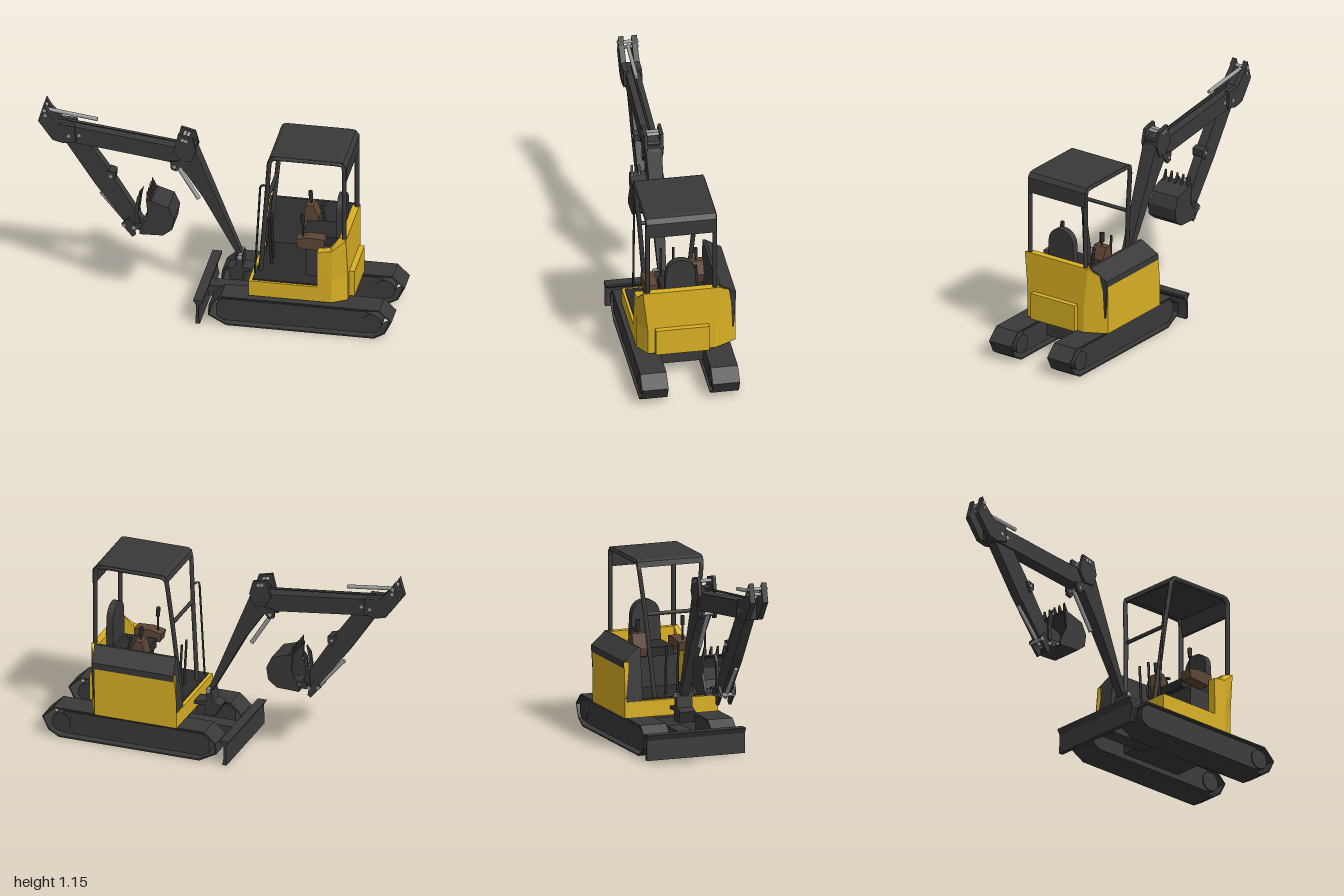
import * as THREE from 'three';

const mat = (name, color) => Object.assign(new THREE.MeshStandardMaterial({ color }), { name });
const V = (p) => new THREE.Vector3(...p);

export function createModel() {
  const yellow = mat('yellow paint', 0xd9b024), dark = mat('dark grey', 0x393939),
    black = mat('black rubber', 0x2b2b2b), steel = mat('steel', 0x9c9c9c), brown = mat('brown', 0x5c4535);
  const model = new THREE.Group();
  model.name = 'miniExcavator';
  const ZC = 0.012; // centre plane of the digging arm

  const add = (name, geo, m) => {
    const mesh = new THREE.Mesh(geo, m);
    mesh.name = name;
    model.add(mesh);
    return mesh;
  };
  // box from min and max corners
  const box = (name, m, a, b) => {
    const g = new THREE.BoxGeometry(b[0] - a[0], b[1] - a[1], b[2] - a[2]);
    g.translate((a[0] + b[0]) / 2, (a[1] + b[1]) / 2, (a[2] + b[2]) / 2);
    return add(name, g, m);
  };
  const outline = (pts) => pts.map((p) => new THREE.Vector2(...p));
  // side profile (x, y) extruded from z0 to z1, with optional hole
  const plate = (name, m, pts, z0, z1, hole) => {
    const s = new THREE.Shape(outline(pts));
    if (hole) s.holes.push(new THREE.Path(outline(hole)));
    const g = new THREE.ExtrudeGeometry(s, { depth: z1 - z0, bevelEnabled: false });
    g.translate(0, 0, z0);
    return add(name, g, m);
  };
  // plan outline (x, z) extruded from y0 to y1
  const slab = (name, m, pts, y0, y1) => {
    const s = new THREE.Shape(outline(pts.map(([x, z]) => [x, -z])));
    const g = new THREE.ExtrudeGeometry(s, { depth: y1 - y0, bevelEnabled: false });
    g.rotateX(-Math.PI / 2).translate(0, y0, 0);
    return add(name, g, m);
  };
  // straight round bar between two points
  const rod = (name, m, a, b, r, sides = 12) => {
    const d = V(b).sub(V(a));
    const mesh = add(name, new THREE.CylinderGeometry(r, r, d.length(), sides), m);
    mesh.position.copy(V(a).addScaledVector(d, 0.5));
    mesh.quaternion.setFromUnitVectors(new THREE.Vector3(0, 1, 0), d.normalize());
    return mesh;
  };
  const pin = (name, m, x, y, half, r) => rod(name, m, [x, y, ZC - half], [x, y, ZC + half], r);
  const tube = (name, m, pts, r) => {
    const path = new THREE.CurvePath();
    for (let i = 1; i < pts.length; i++) path.add(new THREE.LineCurve3(V(pts[i - 1]), V(pts[i])));
    return add(name, new THREE.TubeGeometry(path, pts.length * 10, r, 8), m);
  };
  // skin over equal-sized cross-sections, capped at both ends
  const loft = (name, m, loops) => {
    const tris = [], n = loops[0].length;
    for (let i = 0; i + 1 < loops.length; i++)
      for (let j = 0; j < n; j++) {
        const k = (j + 1) % n, A = loops[i], B = loops[i + 1];
        tris.push([A[j], B[j], B[k]], [A[j], B[k], A[k]]);
      }
    const L = loops[loops.length - 1];
    for (let j = 1; j + 1 < n; j++) tris.push([loops[0][0], loops[0][j], loops[0][j + 1]], [L[0], L[j + 1], L[j]]);
    const volume = tris.reduce((s, [a, b, c]) => s + V(a).dot(V(b).cross(V(c))), 0);
    if (volume < 0) tris.forEach((t) => t.reverse());
    const g = new THREE.BufferGeometry();
    g.setAttribute('position', new THREE.Float32BufferAttribute(tris.flat(2), 3));
    g.computeVertexNormals();
    return add(name, g, m);
  };

  // tracks: hollow belt around a side frame with an end wheel
  const belt = [[-0.02, 0.06], [0.08, 0.005], [0.9, 0.005], [0.96, 0.04], [0.998, 0.115], [0.93, 0.18], [0.05, 0.18], [-0.015, 0.12]];
  const beltHole = belt.map(([x, y]) => [0.49 + (x - 0.49) * 0.987, 0.0925 + (y - 0.0925) * 0.91]);
  const frame = [[0.025, 0.06], [0.07, 0.032], [0.86, 0.032], [0.93, 0.055], [0.93, 0.13], [0.86, 0.163], [0.06, 0.163], [0.025, 0.13]];
  for (const [side, z0, z1] of [['left', 0.13, 0.275], ['right', -0.265, -0.115]]) {
    plate(side + 'TrackBelt', dark, belt, z0, z1, beltHole);
    plate(side + 'TrackFrame', dark, frame, z0 + 0.008, z1 - 0.008);
    rod(side + 'TrackWheel', dark, [0.888, 0.095, z0 + 0.002], [0.888, 0.095, z1 - 0.002], 0.055, 20);
  }

  // undercarriage, turntable and dozer blade
  loft('undercarriage', dark, [0.25, 0.65].map((x) =>
    [[x, 0.06, -0.12], [x, 0.06, 0.14], [x, 0.12, 0.14], [x, 0.168, 0.09], [x, 0.168, -0.07], [x, 0.12, -0.12]]));
  rod('turntable', black, [0.44, 0.16, 0], [0.44, 0.2, 0], 0.135, 32);
  box('bladeArm', dark, [-0.06, 0.055, -0.03], [0.3, 0.12, 0.055]);
  plate('dozerBlade', dark, [[-0.085, 0.01], [-0.06, 0.01], [-0.068, 0.05], [-0.068, 0.12], [-0.045, 0.14], [-0.045, 0.152], [-0.098, 0.152], [-0.08, 0.12]], -0.28, 0.295);

  // yellow body base and floor
  slab('bodyBase', yellow, [[0.2, 0.25], [0.66, 0.25], [0.742, 0.2], [0.742, -0.175], [0.68, -0.295], [0.2, -0.295]], 0.19, 0.28);
  slab('floor', black, [[0.22, 0.235], [0.58, 0.235], [0.58, -0.2], [0.22, -0.2]], 0.278, 0.287);
  // rear and side wall: outer foot, outer waist, outer rim, inner rim, inner foot
  const wall = (o, t, i, rim) => [[o[0], 0.28, o[1]], [o[0], 0.34, o[1]], [t[0], rim, t[1]], [i[0], rim, i[1]], [i[0], 0.28, i[1]]];
  loft('bodyWall', yellow, [
    wall([0.58, 0.25], [0.58, 0.248], [0.58, 0.2], 0.495),
    wall([0.66, 0.25], [0.66, 0.248], [0.645, 0.2], 0.505),
    wall([0.742, 0.2], [0.735, 0.225], [0.695, 0.19], 0.568),
    wall([0.742, -0.175], [0.735, -0.2], [0.695, -0.185], 0.568),
    wall([0.68, -0.295], [0.68, -0.295], [0.66, -0.27], 0.5),
    wall([0.2, -0.295], [0.215, -0.295], [0.215, -0.27], 0.5),
  ]);
  box('counterweightPanel', yellow, [0.73, 0.195, -0.135], [0.772, 0.347, 0.16]);
  // dark side cowling with sloping lid
  const cowl = (xb, xt) => [[xb, 0.28, -0.19], [xt, 0.57, -0.19], [xt, 0.57, -0.205], [xt - 0.02, 0.503, -0.297], [xb, 0.28, -0.285]];
  loft('sideCowling', dark, [cowl(0.203, 0.24), cowl(0.69, 0.715)]);

  // canopy: posts, side rails, roof and rear drop panel
  for (const s of [1, -1]) {
    const z = (v) => 0.012 + s * v;
    const side = s > 0 ? 'left' : 'right';
    tube(side + 'CanopyFrame', dark, [[0.245, 0.28, z(0.115)], [0.285, 0.75, z(0.155)], [0.305, 0.99, z(0.183)],
      [0.315, 1.018, z(0.185)], [0.34, 1.028, z(0.186)], [0.69, 1.028, z(0.186)], [0.715, 1.018, z(0.186)], [0.722, 0.99, z(0.186)], [0.722, 0.5, z(0.186)]], 0.013);
    rod(side + 'FootLever', black, [0.29, 0.285, z(0.035)], [0.275, 0.56, z(0.035)], 0.007, 8);
  }
  rod('frontCrossbar', dark, [0.285, 0.742, -0.145], [0.285, 0.742, 0.168], 0.011, 8);
  tube('handrail', black, [[0.225, 0.3, 0.19], [0.255, 0.84, 0.19], [0.265, 0.85, 0.19], [0.28, 0.84, 0.175]], 0.006);
  plate('roof', dark, [[0.298, 1.0], [0.31, 1.0], [0.335, 1.022], [0.71, 1.022], [0.72, 0.925], [0.735, 0.925], [0.735, 1.01], [0.715, 1.036], [0.695, 1.041], [0.325, 1.041], [0.306, 1.03]], -0.18, 0.204);

  // seat and controls
  box('seatBase', dark, [0.5, 0.28, -0.11], [0.69, 0.46, 0.14]);
  box('seatCushion', black, [0.47, 0.46, -0.08], [0.67, 0.51, 0.1]);
  const back = new THREE.Shape();
  back.moveTo(-0.09, 0.48).lineTo(0.09, 0.48).lineTo(0.082, 0.66)
    .bezierCurveTo(0.075, 0.765, -0.075, 0.765, -0.082, 0.66).lineTo(-0.09, 0.48);
  const backGeo = new THREE.ExtrudeGeometry(back, { depth: 0.04, bevelEnabled: false });
  add('seatBack', backGeo.rotateY(Math.PI / 2).translate(0.657, 0, 0.01), dark);
  plate('rightConsole', brown, [[0.45, 0.47], [0.51, 0.47], [0.53, 0.53], [0.5, 0.6], [0.46, 0.6], [0.44, 0.52]], -0.15, -0.07);
  plate('leftConsole', brown, [[0.46, 0.48], [0.59, 0.47], [0.61, 0.5], [0.61, 0.54], [0.52, 0.545], [0.45, 0.53]], 0.12, 0.19);
  for (const [name, x, z] of [['rightLever', 0.48, -0.11], ['leftLever', 0.485, 0.155]]) {
    rod(name, black, [x, 0.53, z], [x, 0.65, z], 0.006, 8);
    rod(name + 'Grip', black, [x, 0.62, z], [x - 0.004, 0.672, z], 0.012, 8);
  }
  tube('armrest', black, [[0.56, 0.5, -0.1], [0.54, 0.6, -0.1], [0.57, 0.605, -0.1]], 0.008);

  // swing post
  plate('swingPost', dark, [[0.045, 0.235], [0.075, 0.17], [0.135, 0.17], [0.135, 0.225], [0.22, 0.225], [0.22, 0.24], [0.13, 0.25], [0.13, 0.325], [0.1, 0.325], [0.09, 0.25]], ZC - 0.045, ZC + 0.045);
  pin('swingPin', steel, 0.117, 0.315, 0.052, 0.013);

  // lower boom, narrowing towards the foot
  const boom = plate('lowerBoom', dark, [[0.132, 0.3], [0.105, 0.3], [-0.09, 0.66], [-0.225, 0.86], [-0.22, 0.98], [-0.15, 0.98], [-0.125, 0.93]], -1, 1);
  const bp = boom.geometry.attributes.position;
  for (let i = 0; i < bp.count; i++) bp.setZ(i, ZC + bp.getZ(i) * THREE.MathUtils.mapLinear(bp.getY(i), 0.3, 0.98, 0.022, 0.046));
  boom.geometry.computeVertexNormals();

  // upper boom, knuckle and forked tip
  plate('upperBoom', dark, [[-0.14, 0.87], [-0.13, 0.97], [-0.24, 0.955], [-0.8, 1.025], [-0.9, 1.03], [-0.9, 0.935], [-0.7, 0.915], [-0.24, 0.857]], ZC - 0.038, ZC + 0.038);
  for (const s of [1, -1]) {
    const fork = (name, pts, off, t) => plate(name, dark, pts, ZC + s * off - t / 2, ZC + s * off + t / 2);
    fork('boomKnuckle', [[-0.25, 0.94], [-0.225, 1.045], [-0.145, 1.025], [-0.125, 0.95], [-0.15, 0.88], [-0.21, 0.88]], 0.044, 0.018);
    fork('boomTip', [[-0.97, 1.155], [-1.0, 1.05], [-0.92, 0.94], [-0.86, 0.925], [-0.79, 0.94], [-0.8, 1.035], [-0.88, 1.04], [-0.945, 1.11]], 0.037, 0.03);
    fork('cylinderBracket', [[-0.27, 0.87], [-0.265, 0.82], [-0.235, 0.81], [-0.18, 0.88]], 0.038, 0.016);
    fork('stickEnd', [[-0.54, 0.45], [-0.48, 0.378], [-0.462, 0.39], [-0.47, 0.44], [-0.5, 0.49]], 0.036, 0.015);
    fork('bucketLink', [[-0.43, 0.655], [-0.455, 0.62], [-0.47, 0.52], [-0.47, 0.43], [-0.43, 0.43], [-0.45, 0.52], [-0.44, 0.6]], 0.03, 0.015);
  }
  rod('boomTopPipe', black, [-0.2, 0.972, ZC], [-0.84, 1.045, ZC], 0.007, 8);

  // stick
  plate('stick', dark, [[-0.87, 0.95], [-0.74, 0.95], [-0.62, 0.78], [-0.425, 0.47], [-0.46, 0.43], [-0.51, 0.44], [-0.69, 0.68]], ZC - 0.028, ZC + 0.028);
  plate('stickBracket', dark, [[-0.63, 0.76], [-0.61, 0.77], [-0.575, 0.76], [-0.575, 0.725], [-0.6, 0.7]], ZC - 0.035, ZC + 0.035);

  // hydraulic rods
  rod('boomRod', steel, [-0.25, 0.84, ZC], [-0.12, 0.63, ZC], 0.012);
  rod('stickRod', steel, [-0.955, 1.1, ZC], [-0.68, 1.065, ZC], 0.011);
  rod('bucketRod', steel, [-0.66, 0.615, ZC], [-0.5, 0.425, ZC], 0.011);

  // pivot pins
  for (const [x, y, half] of [[-0.965, 1.12, 0.058], [-0.96, 1.09, 0.058], [-0.83, 0.975, 0.056], [-0.775, 0.975, 0.04], [-0.2, 1.015, 0.058],
    [-0.18, 1.01, 0.058], [-0.245, 0.84, 0.052], [-0.6, 0.74, 0.042], [-0.525, 0.445, 0.048], [-0.47, 0.435, 0.048], [-0.41, 0.445, 0.05]])
    pin('pivotPin', steel, x, y, half, 0.01);

  // bucket: bent shell open towards the stick, closed sides and teeth
  const shell = [[-0.395, 0.645], [-0.27, 0.605], [-0.24, 0.54], [-0.25, 0.47], [-0.3, 0.43], [-0.43, 0.425]];
  const inner = shell.map(([x, y]) => [-0.38 + (x + 0.38) * 0.92, 0.53 + (y - 0.53) * 0.92]).reverse();
  plate('bucketShell', dark, [...shell, ...inner], ZC - 0.09, ZC + 0.09);
  for (const z of [ZC - 0.092, ZC + 0.08])
    plate('bucketSide', dark, [...shell, [-0.43, 0.45], [-0.385, 0.54]], z, z + 0.012);
  box('bucketEar', dark, [-0.46, 0.425, ZC - 0.045], [-0.39, 0.465, ZC + 0.045]);
  for (let i = 0; i < 5; i++) {
    const z = ZC - 0.084 + i * 0.039;
    plate('bucketTooth', dark, [[-0.36, 0.63], [-0.37, 0.645], [-0.392, 0.69], [-0.393, 0.64]], z, z + 0.013);
  }
  return model;
}
